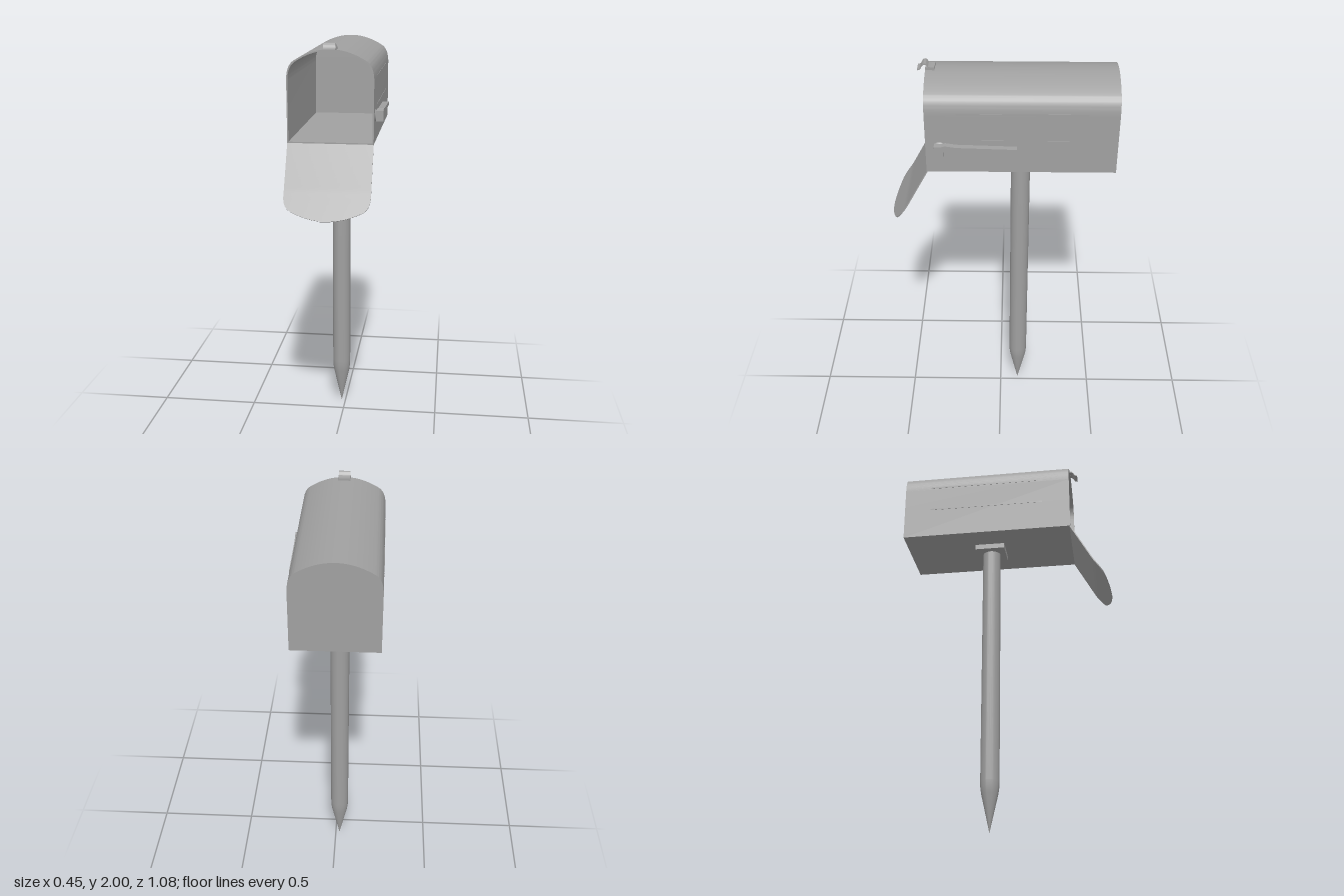
import * as THREE from 'three';
import { toCreasedNormals } from 'three/addons/utils/BufferGeometryUtils.js';

const CX = -0.021;                      // centre line of box and post
const FLOOR = 1.537;                    // underside of the box
const FRONT = 0.343, BACK = -0.54;
const HALF = 0.203, HEIGHT = 0.433;     // box cross-section
const WALL = 0.006;

const material = new THREE.MeshStandardMaterial({ color: 0xa0a0a0 });

function add(parent, name, geometry, x = 0, y = 0, z = 0) {
  const mesh = new THREE.Mesh(geometry, material);
  mesh.name = name;
  mesh.position.set(x, y, z);
  parent.add(mesh);
  return mesh;
}

const extrude = (shape, depth) => toCreasedNormals(
  new THREE.ExtrudeGeometry(shape, { depth, bevelEnabled: false, curveSegments: 12 }), 0.6);

// Side-view outline given as [z, y], extruded across x
function extrudeAcross(points, width) {
  const shape = new THREE.Shape(points.map(([z, y]) => new THREE.Vector2(z, y)));
  return extrude(shape, width).rotateY(-Math.PI / 2).translate(width / 2, 0, 0);
}

// Arched cross-section, optionally inset by the wall thickness
function archShape(inset = 0) {
  const w = HALF - inset, h = HEIGHT - inset;
  const s = new THREE.Shape();
  s.moveTo(-w, inset);
  s.lineTo(w, inset);
  s.lineTo(w, 0.29);
  s.quadraticCurveTo(w, h - 0.075, w - 0.035, h - 0.052);
  s.quadraticCurveTo(0.085, h, 0, h);
  s.quadraticCurveTo(-0.085, h, -w + 0.035, h - 0.052);
  s.quadraticCurveTo(-w, h - 0.075, -w, 0.29);
  s.closePath();
  return s;
}

// Thin bent door: columns follow the arch height, rows follow the bend,
// and each row is a closed ring of front and back points
function doorGeometry() {
  const columns = archShape().getPoints(12).filter(p => p.y > 0.25).reverse();
  const v = (z, y) => new THREE.Vector2(z, y);
  const bend = new THREE.CurvePath();
  bend.add(new THREE.LineCurve(v(FRONT, FLOOR), v(0.448, 1.343)));
  bend.add(new THREE.QuadraticBezierCurve(v(0.448, 1.343), v(0.455, 1.33), v(0.464, 1.317)));
  bend.add(new THREE.LineCurve(v(0.464, 1.317), v(0.537, 1.215)));
  const rows = 30, n = columns.length, ring = 2 * n;
  const positions = [], index = [];
  for (let r = 0; r <= rows; r++) {
    const points = columns.map(c => [c.x, bend.getPoint((r / rows) * c.y / HEIGHT)]);
    for (const [x, p] of points) positions.push(x, p.y, p.x);
    for (const [x, p] of points.reverse()) positions.push(x, p.y - 0.0025, p.x - 0.0045);
  }
  for (let r = 0; r < rows; r++) {
    for (let i = 0; i < ring; i++) {
      const a = r * ring + i, b = r * ring + (i + 1) % ring;
      index.push(a, a + ring, b, b, a + ring, b + ring);
    }
  }
  // lower rim
  const last = rows * ring;
  for (let i = 0; i < n - 1; i++) {
    const f = last + i, k = last + ring - 1 - i;
    index.push(f + 1, f, k, f + 1, k, k - 1);
  }
  const g = new THREE.BufferGeometry();
  g.setAttribute('position', new THREE.Float32BufferAttribute(positions, 3));
  g.setIndex(index);
  return toCreasedNormals(g, 0.6);
}

export function createModel() {
  const model = new THREE.Group();
  model.name = 'mailbox';

  // Post with a pointed foot
  const postProfile = [[0, 0], [0.042, 0.19], [0.046, 0.22], [0.047, 0.25], [0.047, 1.515], [0, 1.515]]
    .map(([r, y]) => new THREE.Vector2(r, y));
  add(model, 'post', toCreasedNormals(new THREE.LatheGeometry(postProfile, 32), 0.6), CX, 0, -0.097);
  add(model, 'mountingPlate', new THREE.BoxGeometry(0.155, 0.028, 0.155), CX, 1.524, -0.097);

  // Hollow arched box, open at the front
  const box = new THREE.Group();
  box.name = 'box';
  model.add(box);
  const shell = archShape();
  shell.holes.push(new THREE.Path(archShape(WALL).getPoints(12)));
  add(box, 'shell', extrude(shell, FRONT - BACK), CX, FLOOR, BACK);
  add(box, 'backWall', extrude(archShape(0.001), WALL), CX, FLOOR, BACK);

  // Slim pressed ribs with tapered ends, two on each side
  const rib = new THREE.Shape();
  rib.moveTo(-0.3, 0);
  rib.lineTo(-0.28, 0.0015);
  rib.lineTo(0.28, 0.0015);
  rib.lineTo(0.3, 0);
  rib.closePath();
  for (const side of [-1, 1]) {
    // rib length lies along z, its height points outward
    const out = new THREE.Vector3(side, 0, 0), along = new THREE.Vector3(0, 0, 1);
    const turn = new THREE.Matrix4().makeBasis(along, out, new THREE.Vector3().crossVectors(along, out));
    for (const y of [1.7, 1.836]) {
      const geometry = extrude(rib, 0.008).translate(0, 0, -0.004).applyMatrix4(turn);
      add(box, 'sideRib', geometry, CX + side * HALF, y, -0.1);
    }
  }

  // Open door hanging from the front edge, with a small pull tab
  add(model, 'door', doorGeometry(), CX, 0, 0);
  const tab = add(model, 'doorTab', new THREE.BoxGeometry(0.05, 0.016, 0.005), CX, 1.219, 0.531);
  tab.rotation.x = -0.62;

  // Spring latch: flat base with a raised curl
  const curl = new THREE.CatmullRomCurve3(
    [[0.315, 1.978], [0.328, 1.981], [0.337, 1.994], [0.347, 1.997], [0.357, 1.99], [0.366, 1.974], [0.38, 1.969]]
      .map(([z, y]) => new THREE.Vector3(z, y, 0))).getPoints(28);
  const strip = [...curl.map(p => [p.x, p.y - 0.003]), ...curl.reverse().map(p => [p.x, p.y + 0.003])];
  add(model, 'latch', extrudeAcross(strip, 0.056), CX, 0, 0);
  add(model, 'latchBase', new THREE.BoxGeometry(0.06, 0.014, 0.042), CX, 1.974, 0.321);

  // Signal flag on the left side, lying back along the box
  const flag = new THREE.Group();
  flag.name = 'flag';
  model.add(flag);
  const arm = [[0.27, 1.661], [0.27, 1.688], [0.25, 1.694], [0.2, 1.686], [-0.078, 1.678], [-0.078, 1.661]];
  add(flag, 'flagArm', extrudeAcross(arm, 0.03), 0.205);
  add(flag, 'flagHead', new THREE.BoxGeometry(0.034, 0.05, 0.042), 0.205, 1.664, 0.28);
  const pivot = add(flag, 'flagPivot', new THREE.CylinderGeometry(0.014, 0.032, 0.014, 20), 0.187, 1.664, 0.278);
  pivot.rotation.z = -Math.PI / 2;

  return model;
}
